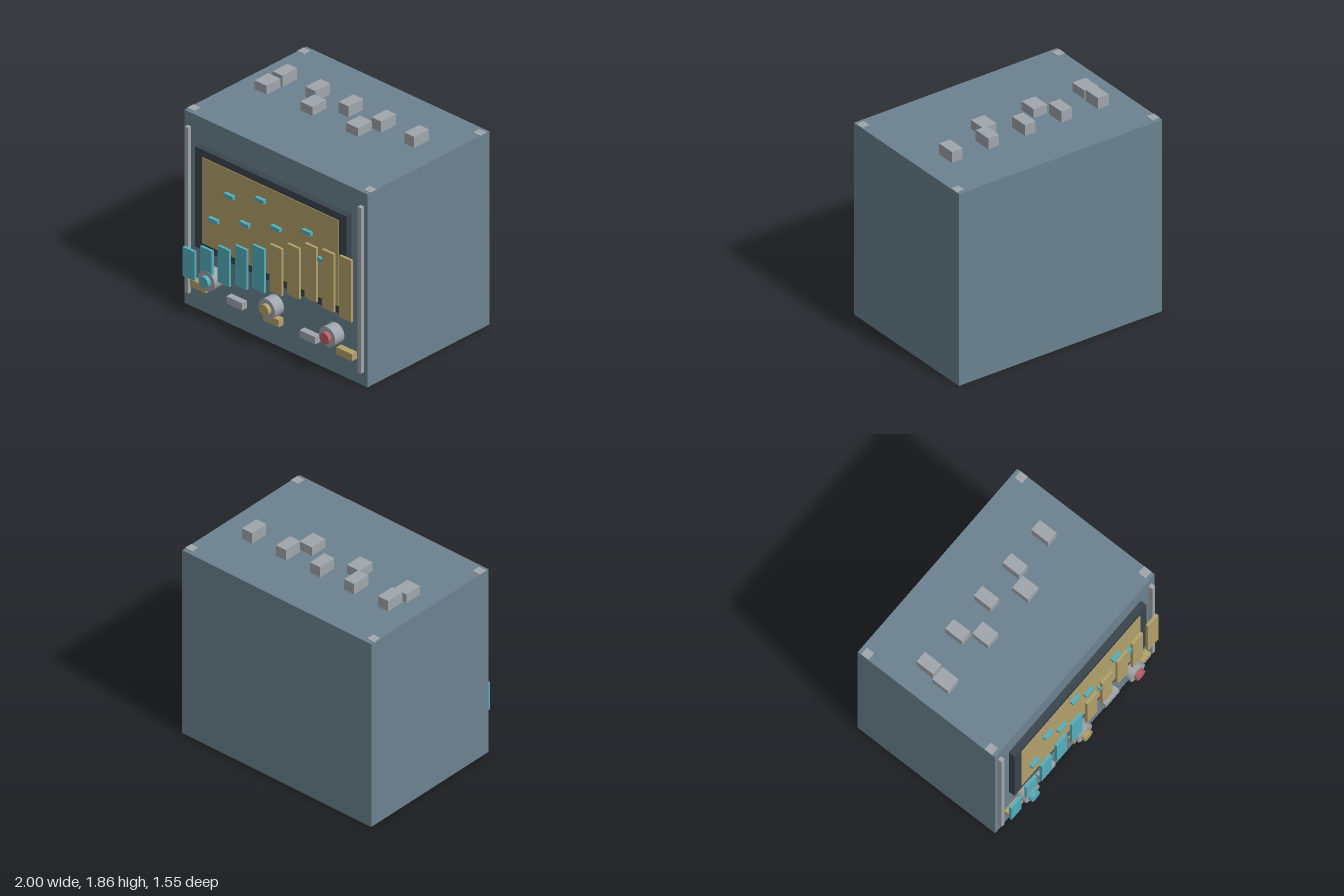
import * as THREE from 'three';

const material = (name, color) => {
  const m = new THREE.MeshStandardMaterial({ color });
  m.name = name;
  return m;
};

export function createModel() {
  const model = new THREE.Group();
  model.name = 'controlCabinet';
  const slate = material('slate', 0x6b828f);
  const grey = material('grey', 0x9fa6ab);
  const gold = material('gold', 0xb3a16b);
  const cyan = material('cyan', 0x54afbd);
  const dark = material('dark', 0x3a454e);
  const red = material('red', 0xb86068);

  // Box given by its lower and upper limits
  const box = (name, mat, [x0, x1], [y0, y1], [z0, z1]) => {
    const mesh = new THREE.Mesh(new THREE.BoxGeometry(x1 - x0, y1 - y0, z1 - z0), mat);
    mesh.position.set((x0 + x1) / 2, (y0 + y1) / 2, (z0 + z1) / 2);
    mesh.name = name;
    model.add(mesh);
  };
  const span = (centre, size) => [centre - size / 2, centre + size / 2];

  // Cylinder facing forward
  const disc = (name, mat, x, y, r, z0, z1) => {
    const mesh = new THREE.Mesh(new THREE.CylinderGeometry(r, r, z1 - z0, 24), mat);
    mesh.rotation.x = Math.PI / 2;
    mesh.position.set(x, y, (z0 + z1) / 2);
    mesh.name = name;
    model.add(mesh);
  };

  const top = 1.757, face = 0.633;
  box('cabinet', slate, [-1, 1], [0, top], [-0.775, face]);

  // Front rails and top corner plates
  for (const s of [-1, 1]) {
    box('frontRail', grey, span(s * 0.944, 0.037), [0.125, 1.633], [face, 0.67]);
    for (const z of [-0.704, 0.564])
      box('cornerPlate', grey, span(s * 0.963, 0.074), [top - 0.01, top + 0.006], span(z, 0.075));
  }

  // Screen in its dark frame
  box('screenFrame', dark, [-0.828, 0.828], [0.602, 1.513], [face, 0.692]);
  box('screen', gold, [-0.744, 0.744], [0.667, 1.447], [0.69, 0.698]);

  // Markers scattered over the screen
  for (let i = 0; i < 8; i++)
    box('screenMarker', cyan, span(-0.602 + i * 0.17, 0.095),
      span(0.935 + ((i * 3) % 5) * 0.0955, 0.034), [0.698, 0.73]);

  // Rising row of bars
  for (let i = 0; i < 10; i++) {
    const y = 0.451 + Math.min(i, 7) * 0.0617;
    box('chartBar', i < 5 ? cyan : gold, span(-0.857 + i * 0.1902, 0.128),
      span(y, 0.264 + i * 0.033), [0.713, 0.737]);
  }

  // Dials with coloured caps
  [cyan, gold, red].forEach((mat, i) => {
    const x = (i - 1) * 0.66;
    disc('dialRing', grey, x, 0.371, 0.089, face, 0.739);
    disc('dialCap', mat, x, 0.371, 0.051, 0.735, 0.775);
  });

  // Lower buttons
  for (let i = 0; i < 5; i++)
    box('button', i % 2 ? grey : gold, span((i - 2) * 0.4, 0.17), [0.217, 0.282], [face, 0.692]);

  // Two rows of blocks on the roof
  for (let i = 0; i < 5; i++)
    box('rearRoofBlock', grey, span(-0.742 + i * 0.36, 0.106), [top, 1.857], [-0.34, -0.17]);
  for (let i = 0; i < 3; i++)
    box('frontRoofBlock', grey, span(-0.759 + i * 0.5, 0.132), [top, 1.837], [-0.152, 0.008]);

  return model;
}
